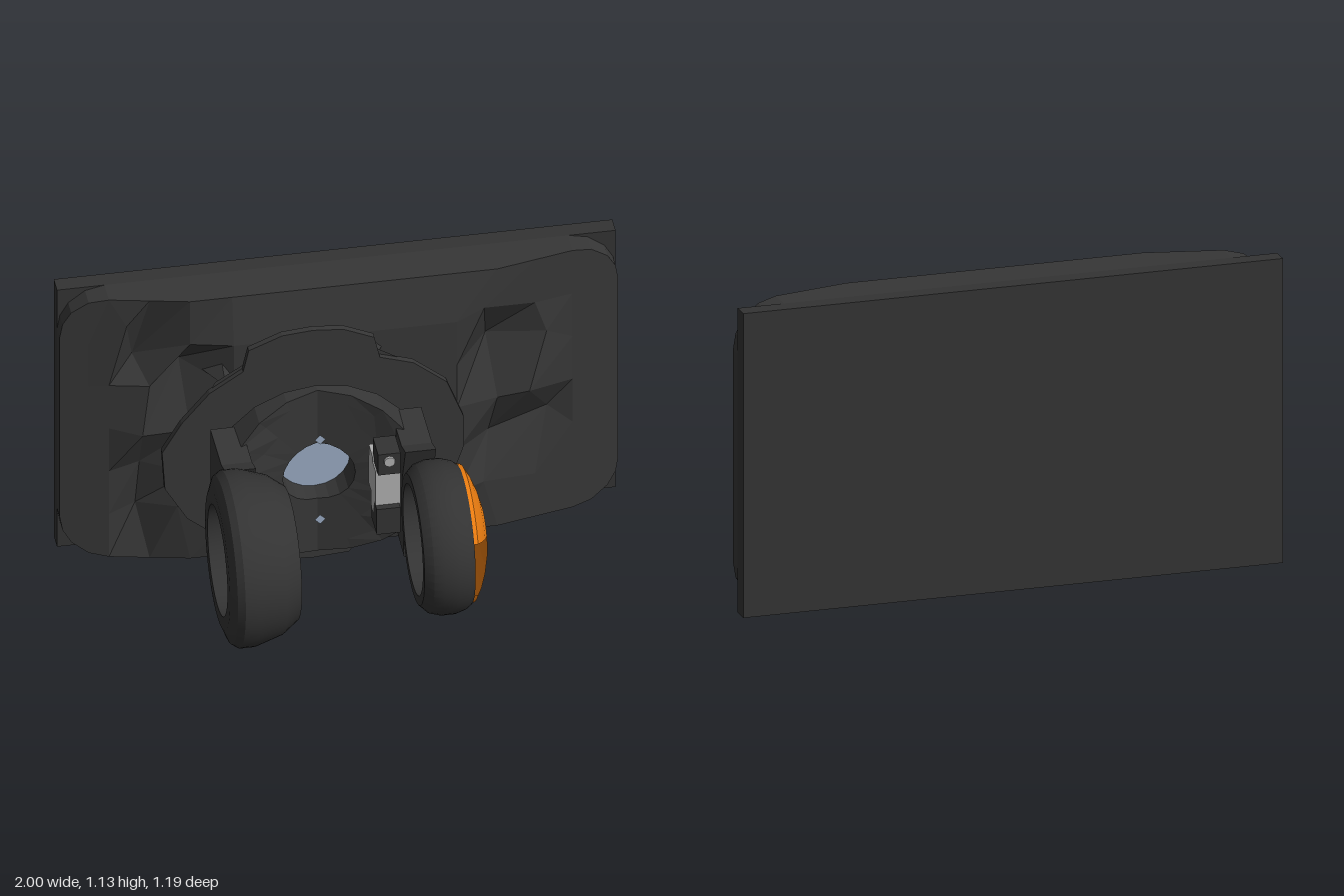
import * as THREE from 'three';
import { toCreasedNormals } from 'three/addons/utils/BufferGeometryUtils.js';

const paint = (color, flat = false) => new THREE.MeshStandardMaterial({ color, flatShading: flat, side: THREE.DoubleSide });
const dark = paint(0x333333);
const rock = paint(0x363636, true);
const orange = paint(0xe87b10);
const pale = paint(0x9aabc2);
const grey = paint(0xb0b0b0);

const CX = -0.13, CY = 0.48; // hub axis

export function createModel() {
  const model = new THREE.Group();

  const add = (name, geometry, material, x = 0, y = 0, z = 0) => {
    const mesh = new THREE.Mesh(geometry, material);
    mesh.name = name;
    mesh.position.set(x, y, z);
    model.add(mesh);
    return mesh;
  };
  const box = (name, mat, x0, x1, y0, y1, z0, z1) =>
    add(name, new THREE.BoxGeometry(x1 - x0, y1 - y0, z1 - z0), mat, (x0 + x1) / 2, (y0 + y1) / 2, (z0 + z1) / 2);
  const points = (list) => list.map(([a, b]) => new THREE.Vector2(a, b));
  // Profile of [radius, x] turned around the wheel axle
  const turned = (list, segments = 48, start = 0, length = Math.PI * 2) =>
    toCreasedNormals(new THREE.LatheGeometry(points(list), segments, start, length).rotateZ(-Math.PI / 2), 0.5);

  box('backPlate', dark, -1, 1, 0, 1.13, -0.595, -0.53);
  add('rockyBody', rockyBody(), rock);

  // Mounting plate: oval with a top and a bottom tab, tapering toward the body
  const outline = new THREE.Shape(points([
    [-0.13, 0.03], [0, 0.04], [0.04, 0.1], [0.24, 0.18], [0.36, 0.3], [0.41, 0.45], [0.41, 0.58],
    [0.35, 0.74], [0.23, 0.84], [0.11, 0.88], [0.09, 0.97], [-0.02, 1.02], [-0.13, 1.03], [-0.24, 1.02], [-0.36, 0.97],
    [-0.38, 0.88], [-0.5, 0.8], [-0.6, 0.68], [-0.67, 0.56], [-0.66, 0.4], [-0.58, 0.26], [-0.46, 0.16],
    [-0.3, 0.1], [-0.26, 0.04]]));
  add('mountingPlate', new THREE.ExtrudeGeometry(outline, { depth: 0.025, bevelEnabled: false }), rock, 0, 0, -0.295);
  const plinth = new THREE.CylinderGeometry(0.46, 0.36, 0.09, 11).rotateX(Math.PI / 2);
  add('plinth', plinth, rock, CX, 0.53, -0.335);

  // Radial wedges bracing the plate
  for (let i = 0; i < 9; i++) {
    const a = (i / 9) * Math.PI * 2 + 0.3;
    const wedge = new THREE.ConeGeometry(0.09, 0.16, 4).rotateX(Math.PI / 2);
    add('braceWedge' + (i + 1), wedge, rock, CX + 0.42 * Math.cos(a), 0.55 + 0.38 * Math.sin(a), -0.37);
  }

  // Turntable disc seen through the fork crown
  add('turntableDisc', new THREE.CylinderGeometry(0.29, 0.29, 0.012, 40).rotateX(Math.PI / 2), pale, CX, CY, -0.265);

  // Fork crown: ring whose front face follows an arch
  const crown = new THREE.LatheGeometry(points([
    [0.13, -0.255], [0.31, -0.255], [0.375, -0.21], [0.375, -0.1], [0.33, -0.1], [0.25, -0.1], [0.13, -0.1], [0.13, -0.255]]), 20);
  crown.rotateX(Math.PI / 2).scale(1, 0.94, 1);
  const p = crown.attributes.position;
  for (let i = 0; i < p.count; i++) {
    if (p.getZ(i) < -0.15) continue;
    const x = Math.abs(p.getX(i));
    p.setZ(i, x < 0.19 ? -0.18 + x * 0.26 : Math.min(-0.07, -0.13 + (x - 0.19) * 0.6));
  }
  add('forkCrown', crown, rock, CX, CY, 0);

  // Small pale inspection windows
  for (const [x, y] of [[CX, 0.655], [CX, 0.305], [-0.305, CY]]) {
    add('crownWindow', new THREE.CircleGeometry(0.02, 4), pale, x, y, x === CX ? -0.125 : -0.115);
  }

  // Fork arms, drawn in side profile [z, y]
  const armShape = new THREE.Shape(points([
    [-0.2, 0.26], [-0.07, 0.26], [0.07, 0.25], [0.05, 0.38], [0.04, 0.58], [0.1, 0.73], [0.02, 0.7], [-0.2, 0.695]]));
  for (const [name, x] of [['leftForkArm', 0.245], ['rightForkArm', -0.4]]) {
    const arm = new THREE.ExtrudeGeometry(armShape, { depth: 0.11, bevelEnabled: false }).rotateY(-Math.PI / 2);
    add(name, arm, rock, x, 0, 0);
  }

  // Open ring wheels
  add('rightWheel', turned([
    [0.2, -0.57], [0.25, -0.57], [0.3, -0.55], [0.317, -0.525], [0.317, -0.47], [0.285, -0.37], [0.24, -0.31],
    [0.2, -0.31], [0.205, -0.44], [0.03, -0.44], [0.03, -0.47], [0.205, -0.47], [0.2, -0.57]]), dark, 0, CY, 0.28);
  add('leftWheel', turned([
    [0.2, 0.13], [0.235, 0.13], [0.265, 0.16], [0.277, 0.2], [0.277, 0.25], [0.265, 0.29], [0.25, 0.31],
    [0.225, 0.31], [0.215, 0.22], [0.2, 0.13]]), dark, 0, CY, 0.28);

  // Domed orange cover with a notch at the front
  add('coverRim', turned([[0.25, 0.305], [0.245, 0.325], [0.21, 0.345], [0.165, 0.363], [0.11, 0.378]],
    44, 0.47, Math.PI * 2 - 0.94), orange, 0, CY, 0.275);
  add('coverCentre', turned([[0.11, 0.378], [0.06, 0.382], [0, 0.383]]), orange, 0, CY, 0.275);

  // Small clamp on the inner side of the left arm
  box('clampBlock', grey, 0.035, 0.135, 0.48, 0.6, -0.08, -0.02);
  box('clampUpper', grey, 0.035, 0.13, 0.6, 0.65, -0.075, 0.0);
  box('clampTop', dark, 0.04, 0.12, 0.63, 0.72, -0.02, 0.085);
  box('clampMiddle', grey, 0.035, 0.125, 0.42, 0.63, -0.03, 0.06);
  box('clampBottom', dark, 0.035, 0.12, 0.37, 0.48, -0.02, 0.085);
  const bolt = new THREE.CylinderGeometry(0.02, 0.02, 0.02, 10).rotateX(Math.PI / 2);
  add('clampBolt', bolt, grey, 0.08, 0.69, 0.085);

  return model;
}

// Rounded, tapering slab with dented facets on its front
function rockyBody() {
  const half = [0.1, 0.25, 0.4, 0.55, 0.69, 0.83, 0.9, 0.96, 0.99, 1];
  const xs = [...half.map((x) => -x).reverse(), ...half];
  const H = 1.13, R = 0.17, ROWS = 6, BACK = -0.53;
  const grid = xs.map((x) => {
    const dx = Math.max(0, Math.abs(x) - 1 + R);
    const inset = R - Math.sqrt(Math.max(0, R * R - dx * dx));
    const base = -0.38 - Math.max(0, Math.abs(x) - 0.55) * 0.215;
    return Array.from({ length: ROWS + 1 }, (_, j) => {
      const inner = j > 0 && j < ROWS && Math.abs(x) < 0.5;
      return [x, inset + (H - 2 * inset) * (j / ROWS), base + (inner ? 0.035 : 0)];
    });
  });

  // Dents and peaks: the nearest inner vertex moves to [x, y, z]
  const facets = [
    [-0.77, 1.02, -0.42], [-0.74, 0.85, -0.49], [-0.58, 0.84, -0.45], [-0.72, 0.56, -0.38], [-0.72, 0.4, -0.45],
    [-0.73, 0.2, -0.48], [-0.6, 0.25, -0.36], [0.5, 0.98, -0.36], [0.52, 0.8, -0.46], [0.73, 0.82, -0.4],
    [0.66, 0.6, -0.35], [0.74, 0.45, -0.46], [0.53, 0.38, -0.45], [0.5, 0.2, -0.38]];
  for (const [x, y, z] of facets) {
    let best = null, distance = Infinity;
    for (const column of grid.slice(1, -1)) {
      for (const v of column.slice(1, -1)) {
        const d = Math.hypot(v[0] - x, v[1] - y);
        if (d < distance) { distance = d; best = v; }
      }
    }
    best.splice(0, 3, x, y, z);
  }

  const out = [];
  const quad = (a, b, c, d) => out.push(...a, ...b, ...c, ...a, ...c, ...d);
  const N = xs.length - 1;
  for (let i = 0; i < N; i++) {
    for (let j = 0; j < ROWS; j++) quad(grid[i][j], grid[i + 1][j], grid[i + 1][j + 1], grid[i][j + 1]);
  }
  // Side wall around the border
  const border = [
    ...grid.map((c) => c[0]), ...grid[N].slice(1),
    ...grid.slice(0, N).reverse().map((c) => c[ROWS]), ...grid[0].slice(1, ROWS).reverse()];
  const back = ([x, y]) => [x, y, BACK];
  border.forEach((a, i) => {
    const b = border[(i + 1) % border.length];
    quad(a, back(a), back(b), b);
  });
  const geometry = new THREE.BufferGeometry();
  geometry.setAttribute('position', new THREE.Float32BufferAttribute(out, 3));
  geometry.computeVertexNormals();
  return geometry;
}
